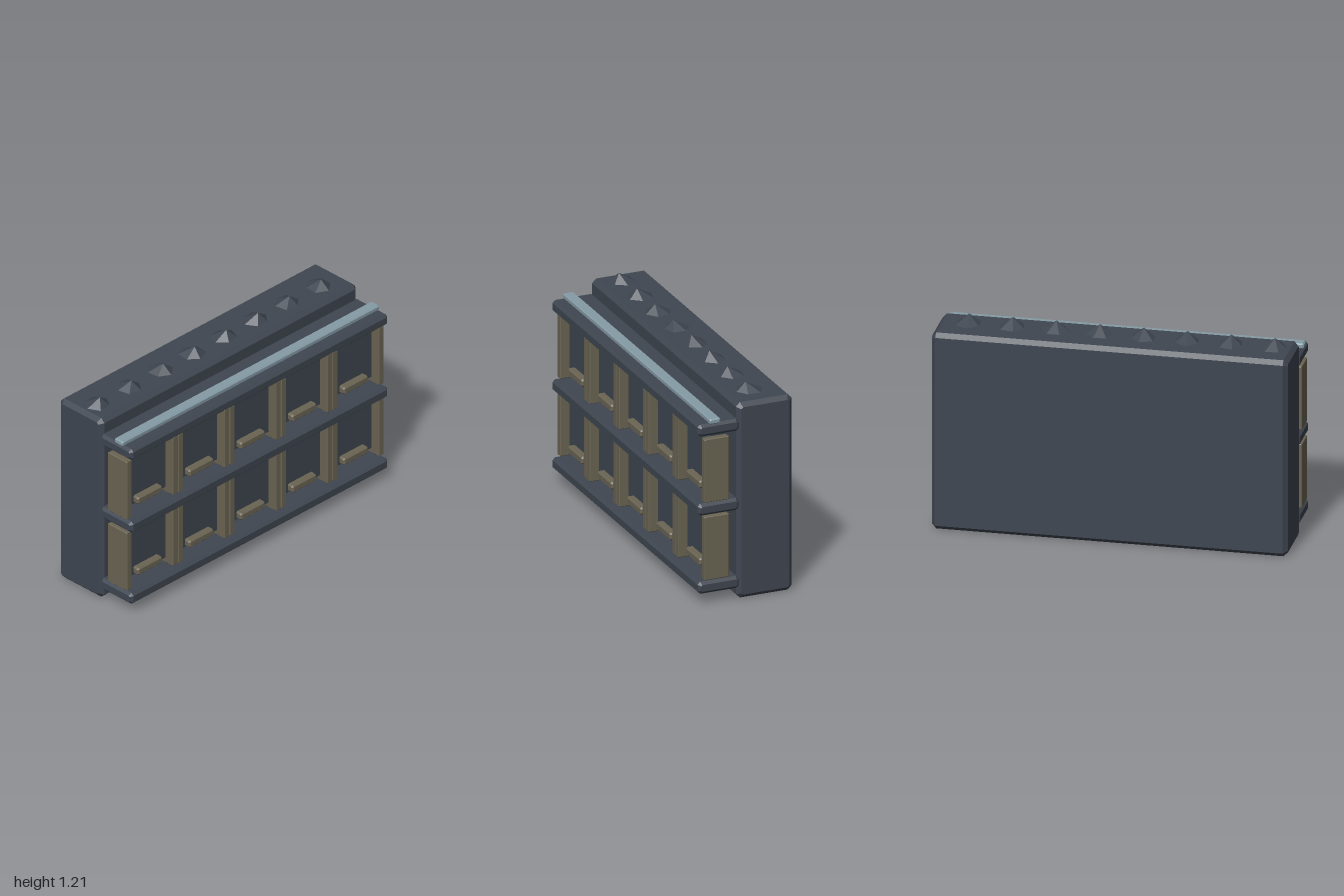
import * as THREE from 'three';

const stone = new THREE.MeshStandardMaterial({ name: 'slate', color: 0x3f4651 });
const wood = new THREE.MeshStandardMaterial({ name: 'drab wood', color: 0x6a6453 });
const metal = new THREE.MeshStandardMaterial({ name: 'pale steel', color: 0x859ba6 });

// Box with every edge chamfered, given by its min and max corners
function chamferBox(name, material, [x0, y0, z0], [x1, y1, z1], c) {
  const w = (x1 - x0) / 2, h = (y1 - y0) / 2, d = z1 - z0;
  const outline = [
    [-w + c, -h], [w - c, -h], [w, -h + c], [w, h - c],
    [w - c, h], [-w + c, h], [-w, h - c], [-w, -h + c],
  ].map(([x, y]) => new THREE.Vector2(x, y));
  const geometry = new THREE.ExtrudeGeometry(new THREE.Shape(outline), {
    depth: d - 2 * c, bevelEnabled: true, bevelSegments: 1,
    bevelThickness: c, bevelSize: c, bevelOffset: -c,
  });
  geometry.translate((x0 + x1) / 2, (y0 + y1) / 2, z0 + c);
  const mesh = new THREE.Mesh(geometry, material);
  mesh.name = name;
  return mesh;
}

// Low faceted stone with an off-centre tip
function rubble(z, i) {
  let geometry = new THREE.ConeGeometry(0.1, 0.065, 6, 1, false, i * 0.83);
  const p = geometry.attributes.position;
  for (let k = 0; k < p.count; k++) {
    if (p.getY(k) > 0) p.setX(k, 0.027);
    else {
      const s = 0.96 + 0.06 * Math.sin(Math.atan2(p.getZ(k), p.getX(k)) * 2 + i);
      p.setX(k, p.getX(k) * s);
      p.setZ(k, p.getZ(k) * s);
    }
  }
  geometry = geometry.toNonIndexed();
  geometry.computeVertexNormals();
  const mesh = new THREE.Mesh(geometry, stone);
  mesh.name = 'topStone';
  mesh.position.set(-0.1, 1.178, z);
  return mesh;
}

export function createModel() {
  const model = new THREE.Group();
  model.name = 'wallWithLockers';

  // Main wall slab
  model.add(chamferBox('wall', stone, [-0.285, 0, -1], [0.05, 1.16, 1], 0.024));

  // Three ledges, the top one carrying a rail
  for (const y of [0.065, 0.528, 0.998]) {
    model.add(chamferBox('ledge', stone, [0.035, y, -1], [0.284, y + 0.072, 1], 0.016));
  }
  model.add(chamferBox('rail', metal, [0.15, 1.064, -1], [0.215, 1.096, 1], 0.007));

  // Two rows of five bays: side posts, a panel and its handle
  for (const y of [0.145, 0.605]) {
    for (let i = 0; i < 5; i++) {
      const bay = new THREE.Group();
      bay.name = 'bay';
      bay.position.set(0, y, 0.8 - i * 0.4);
      for (const z of [-0.2, 0.16]) {
        bay.add(chamferBox('post', wood, [0.1, 0, z], [0.248, 0.376, z + 0.04], 0.004));
      }
      bay.add(chamferBox('panel', stone, [0.155, 0.033, -0.16], [0.194, 0.34, 0.16], 0.004));
      bay.add(chamferBox('handle', wood, [0.18, 0.043, -0.095], [0.232, 0.09, 0.095], 0.009));
      model.add(bay);
    }
  }

  // Row of stones along the top of the wall
  for (let i = 0; i < 8; i++) model.add(rubble(0.888 - i * 0.2455, i));

  return model;
}
